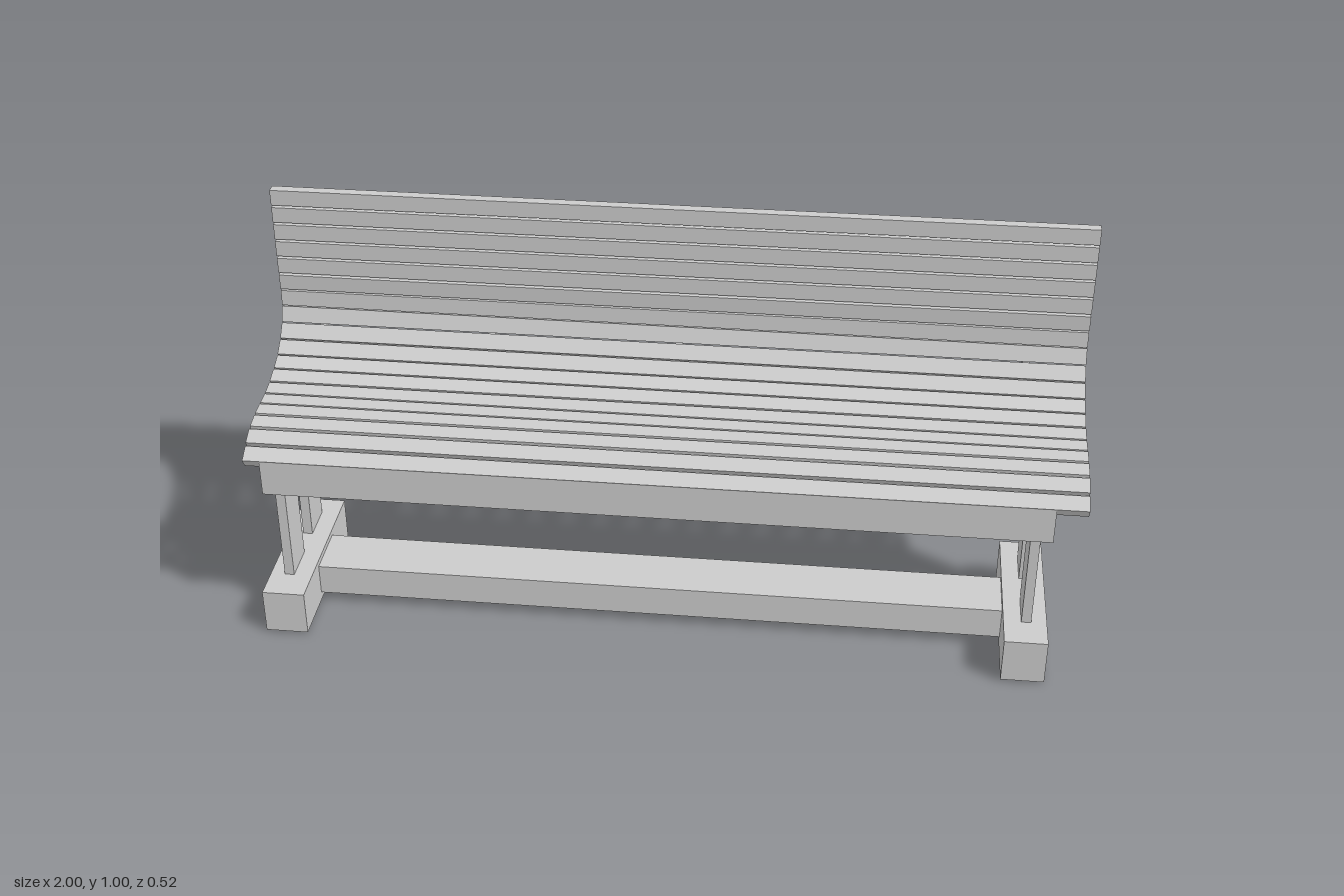
import * as THREE from 'three';

const material = new THREE.MeshStandardMaterial({ color: 0xcccccc, flatShading: true });
const openMaterial = new THREE.MeshStandardMaterial({ color: 0xcccccc, flatShading: true, side: THREE.DoubleSide });

// Smooth side profile through [z, y] points; the curve's x holds z.
const profile = (points) =>
  new THREE.CatmullRomCurve3(points.map(([z, y]) => new THREE.Vector3(z, y, 0)));

export function createModel() {
  const bench = new THREE.Group();
  bench.name = 'bench';

  const add = (name, geometry, mat = material) => {
    const mesh = new THREE.Mesh(geometry, mat);
    mesh.name = name;
    bench.add(mesh);
    return mesh;
  };
  // Box given by its extents along each axis
  const box = (name, [x0, x1], [y0, y1], [z0, z1], mat) => {
    const mesh = add(name, new THREE.BoxGeometry(x1 - x0, y1 - y0, z1 - z0), mat);
    mesh.position.set((x0 + x1) / 2, (y0 + y1) / 2, (z0 + z1) / 2);
    return mesh;
  };

  // Slats spread evenly along the seat and back curve
  const slatCurve = profile([
    [0.218, 0.493], [0.175, 0.518], [0.13, 0.53], [0.08, 0.535], [0.035, 0.536],
    [-0.015, 0.542], [-0.065, 0.556], [-0.1, 0.568], [-0.137, 0.59], [-0.165, 0.615],
    [-0.188, 0.645], [-0.203, 0.69], [-0.203, 0.78], [-0.203, 0.88], [-0.203, 0.98],
  ]);
  const slatCount = 18;
  for (let i = 0; i < slatCount; i++) {
    const u = i / (slatCount - 1);
    const p = slatCurve.getPointAt(u);
    const t = slatCurve.getTangentAt(u);
    const slat = add(p.y < 0.66 ? 'seatSlat' : 'backSlat', new THREE.BoxGeometry(2, 0.026, 0.04));
    slat.position.set(0, p.y, p.x);
    slat.rotation.x = Math.atan2(-t.y, t.x);
  }

  // Curved support bars under the seat and behind the back
  const barCurve = profile([
    [0.21, 0.46], [0.185, 0.478], [0.15, 0.489], [0.11, 0.494], [0.06, 0.489], [0.01, 0.485],
    [-0.05, 0.495], [-0.115, 0.515], [-0.17, 0.544], [-0.21, 0.57], [-0.235, 0.602],
    [-0.247, 0.65], [-0.251, 0.74], [-0.248, 0.82], [-0.243, 0.89], [-0.24, 0.96],
  ]);
  const outer = [];
  const inner = [];
  const steps = 40;
  for (let i = 0; i <= steps; i++) {
    const p = barCurve.getPointAt(i / steps);
    const t = barCurve.getTangentAt(i / steps);
    const h = 0.0095;
    outer.push(new THREE.Vector2(p.x - t.y * h, p.y + t.x * h));
    inner.unshift(new THREE.Vector2(p.x + t.y * h, p.y - t.x * h));
  }
  const barWidth = 0.018;
  const barGeometry = new THREE.ExtrudeGeometry(new THREE.Shape([...outer, ...inner]), {
    depth: barWidth, bevelEnabled: false,
  });
  barGeometry.translate(0, 0, -barWidth / 2).rotateY(-Math.PI / 2);
  for (const x of [-0.91, -0.475, 0, 0.44, 0.86]) {
    add('supportBar', barGeometry).position.x = x;
  }

  // Long rails behind the back and beams under the seat
  const span = [-0.96, 0.925];
  for (const y of [[0.922, 0.977], [0.775, 0.829], [0.65, 0.704]]) {
    box('backRail', span, y, [-0.252, -0.228]);
  }
  const frontBeam = new THREE.Shape([
    new THREE.Vector2(0.195, 0.4), new THREE.Vector2(0.24, 0.4),
    new THREE.Vector2(0.24, 0.492), new THREE.Vector2(0.195, 0.475),
  ]);
  const frontGeometry = new THREE.ExtrudeGeometry(frontBeam, { depth: span[1] - span[0], bevelEnabled: false });
  frontGeometry.rotateY(-Math.PI / 2);
  add('frontBeam', frontGeometry).position.x = span[1];
  for (const z of [[0.108, 0.154], [-0.075, -0.027]]) {
    box('seatBeam', span, [0.4, 0.49], z);
  }

  // Plate legs standing in hollow feet that are open below
  for (const x of [-0.9375, 0.89]) {
    for (const z of [[0.08, 0.18], [-0.1, 0]]) {
      box('leg', [x - 0.012, x + 0.012], [0, 0.49], z);
    }
  }
  for (const x of [[-0.985, -0.88], [0.835, 0.94]]) {
    const foot = box('foot', x, [0.005, 0.12], [-0.158, 0.262], openMaterial);
    const index = Array.from(foot.geometry.index.array);
    index.splice(18, 6); // remove the bottom face
    foot.geometry.setIndex(index);
    foot.geometry.clearGroups();
  }

  // Stretcher joining the feet
  box('stretcher', [-0.88, 0.835], [0.025, 0.105], [-0.02, 0.12]);

  return bench;
}
